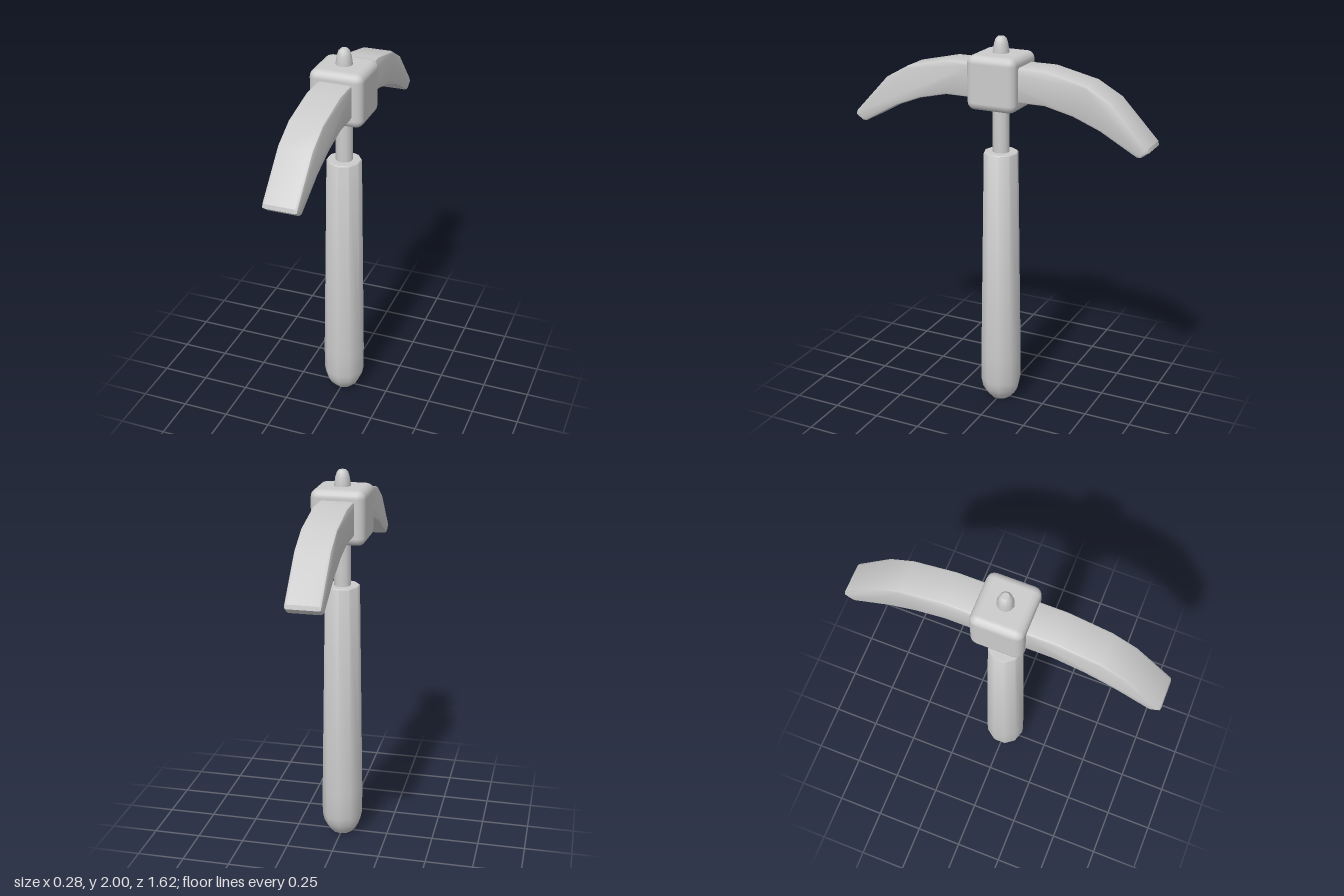
import * as THREE from 'three';
import { toCreasedNormals } from 'three/addons/utils/BufferGeometryUtils.js';
import { RoundedBoxGeometry } from 'three/addons/geometries/RoundedBoxGeometry.js';

const grey = new THREE.MeshStandardMaterial({ color: 0xcccccc });

function part(name, geometry) {
  const mesh = new THREE.Mesh(geometry, grey);
  mesh.name = name;
  return mesh;
}

// Turned part from [radius, height] pairs, listed bottom to top
function turned(name, profile, sides = 10) {
  const points = profile.map(([r, y]) => new THREE.Vector2(r, y));
  return part(name, toCreasedNormals(new THREE.LatheGeometry(points, sides), 0.75));
}

export function createModel() {
  const group = new THREE.Group();
  group.name = 'pickaxe';

  // Tapered grip with a rounded butt
  group.add(turned('handleGrip', [
    [0, 0], [0.055, 0], [0.082, 0.03], [0.1, 0.065], [0.109, 0.11],
    [0.109, 0.25], [0.09, 1.405], [0.086, 1.41], [0, 1.41],
  ]));

  // Thin rod through the head, ending in a blunt tip
  group.add(turned('shaft', [
    [0, 1.38], [0.044, 1.38], [0.042, 1.925], [0.036, 1.965], [0.028, 1.99], [0.018, 2], [0, 2],
  ]));

  // Chamfered block that holds the blades
  const block = part('headBlock', new RoundedBoxGeometry(0.278, 0.276, 0.266, 2, 0.04));
  block.position.y = 1.782;
  group.add(block);

  // Curved double blade: half outline as [z, y], mirrored front to back
  const top = [[0.13, 1.87], [0.27, 1.87], [0.49, 1.82], [0.615, 1.75], [0.805, 1.55], [0.81, 1.53]];
  const under = [[0.77, 1.5], [0.75, 1.5], [0.56, 1.605], [0.42, 1.66], [0.27, 1.695], [0.13, 1.695]];
  const half = [...top, ...under];
  const mirrored = half.map(([z, y]) => [-z, y]).reverse();
  const outline = [...half, ...mirrored].map(([z, y]) => new THREE.Vector2(z, y));
  const bevel = 0.014;
  const width = 0.176;
  const blade = new THREE.ExtrudeGeometry(new THREE.Shape(outline), {
    depth: width - 2 * bevel,
    bevelThickness: bevel,
    bevelSize: bevel,
    bevelOffset: -bevel,
    bevelSegments: 2,
  });
  blade.translate(0, 0, -width / 2 + bevel).rotateY(-Math.PI / 2);
  group.add(part('blades', toCreasedNormals(blade, 0.5)));

  return group;
}
